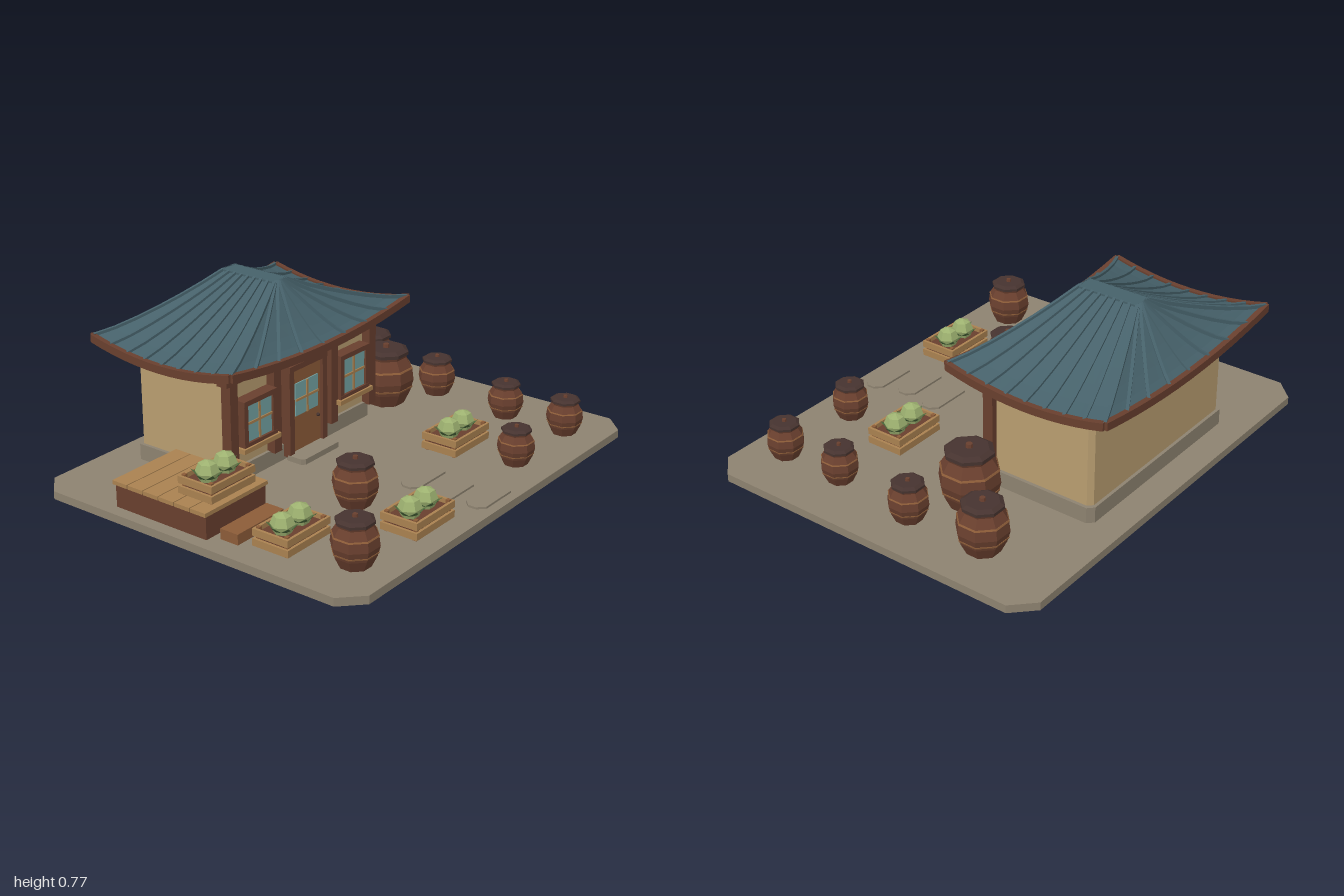
import * as THREE from 'three';

const mat = (name, color, extra = {}) => new THREE.MeshStandardMaterial({ name, color, ...extra });
const ground = mat('stone', 0x8d8270);
const plaster = mat('plaster', 0xb89d70);
const timber = mat('dark timber', 0x693f2e);
const wood = mat('mid wood', 0x8c5c38);
const tan = mat('tan wood', 0xa98150);
const tile = mat('roof tile', 0x46616a, { side: THREE.DoubleSide });
const glass = mat('glass', 0x74a3a3);
const leaf = mat('light leaf', 0x9db170);
const darkLeaf = mat('dark leaf', 0x4a673a, { side: THREE.DoubleSide });
const lidMat = mat('dark lid', 0x46332f);

// adds a faceted mesh
function add(parent, name, geo, material, x = 0, y = 0, z = 0) {
  const g = geo.index ? geo.toNonIndexed() : geo;
  g.computeVertexNormals();
  const m = new THREE.Mesh(g, material);
  m.name = name;
  m.position.set(x, y, z);
  parent.add(m);
  return m;
}

// box from its bounds
function box(parent, name, material, x0, x1, y0, y1, z0, z1) {
  return add(parent, name, new THREE.BoxGeometry(x1 - x0, y1 - y0, z1 - z0), material,
    (x0 + x1) / 2, (y0 + y1) / 2, (z0 + z1) / 2);
}

function group(parent, name, x = 0, y = 0, z = 0) {
  const g = new THREE.Group();
  g.name = name;
  g.position.set(x, y, z);
  parent.add(g);
  return g;
}

// rectangular slab with cut corners
function slab(parent, name, material, hx, hz, c, y0, y1, x, z) {
  const pts = [[hx - c, -hz], [hx, c - hz], [hx, hz - c], [hx - c, hz],
    [c - hx, hz], [-hx, hz - c], [-hx, c - hz], [c - hx, -hz]];
  const shape = new THREE.Shape(pts.map(p => new THREE.Vector2(...p)));
  const geo = new THREE.ExtrudeGeometry(shape, { depth: y1 - y0, bevelEnabled: false });
  geo.rotateX(-Math.PI / 2);
  return add(parent, name, geo, material, x, y0, z);
}

// rectangular bar swept along points
function bar(points, w, h) {
  const pos = [], idx = [], up = new THREE.Vector3(0, 1, 0);
  points.forEach((p, i) => {
    const d = points[Math.min(i + 1, points.length - 1)].clone().sub(points[Math.max(i - 1, 0)]);
    const n = d.cross(up).normalize().multiplyScalar(w / 2);
    for (const [sx, sy] of [[-1, -1], [1, -1], [1, 1], [-1, 1]])
      pos.push(p.x + n.x * sx, p.y + sy * h / 2, p.z + n.z * sx);
    if (i) for (let j = 0; j < 4; j++) {
      const a = (i - 1) * 4 + j, b = (i - 1) * 4 + (j + 1) % 4;
      idx.push(a, a + 4, b + 4, a, b + 4, b);
    }
  });
  const e = (points.length - 1) * 4;
  idx.push(0, 1, 2, 0, 2, 3, e, e + 2, e + 1, e, e + 3, e + 2);
  const g = new THREE.BufferGeometry();
  g.setAttribute('position', new THREE.Float32BufferAttribute(pos, 3));
  g.setIndex(idx);
  return g;
}

// point on one roof side: a runs along the eave, s from ridge to eave
function roofPoint(side, a, s) {
  const hx = 0.04 + 0.545 * s, hz = 0.14 + 0.23 * s;
  const y = 0.765 - 0.23 * (1 - Math.pow(1 - s, 1.2)) + 0.048 * a * a * Math.pow(s, 1.5);
  const [x, z] = [[a * hx, hz], [hx, -a * hz], [-a * hx, -hz], [-hx, a * hz]][side];
  return new THREE.Vector3(x, y, z);
}

function buildRoof(parent) {
  const roof = group(parent, 'roof', -0.08, 0, -0.415);
  const rows = 6, cols = 12;
  const steps = (n, f) => Array.from({ length: n + 1 }, (_, i) => f(i / n));
  for (let side = 0; side < 4; side++) {
    const pos = [], idx = [];
    for (let i = 0; i <= rows; i++) for (let j = 0; j <= cols; j++) {
      pos.push(...roofPoint(side, 2 * j / cols - 1, i / rows).toArray());
      if (i < rows && j < cols) {
        const k = i * (cols + 1) + j, n = k + cols + 1;
        idx.push(k, n, n + 1, k, n + 1, k + 1);
      }
    }
    const g = new THREE.BufferGeometry();
    g.setAttribute('position', new THREE.Float32BufferAttribute(pos, 3));
    g.setIndex(idx);
    add(roof, 'roofSlope', g, tile);
    // tile ribs fan out from the ridge
    for (let r = 0; r < 8; r++)
      add(roof, 'roofRib', bar(steps(6, s => roofPoint(side, r / 4 - 1, s)), 0.013, 0.02), tile);
    add(roof, 'eaveBoard', bar(steps(12, t => {
      const p = roofPoint(side, 2 * t - 1, 1);
      p.y -= 0.006;
      return p;
    }), 0.024, 0.034), timber);
  }
  box(roof, 'ridgeCap', tile, -0.042, 0.042, 0.745, 0.772, -0.142, 0.142);
}

// framed glass with a cross of thin bars
function pane(parent, x0, x1, y0, y1, z) {
  const cx = (x0 + x1) / 2, cy = (y0 + y1) / 2;
  box(parent, 'glass', glass, x0, x1, y0, y1, z - 0.006, z);
  box(parent, 'verticalGlazingBar', tan, cx - 0.005, cx + 0.005, y0, y1, z, z + 0.005);
  box(parent, 'horizontalGlazingBar', tan, x0, x1, cy - 0.005, cy + 0.005, z, z + 0.005);
}

function buildWindow(parent, x) {
  const w = group(parent, 'window', x);
  for (const s of [-1, 1])
    box(w, 'windowJamb', timber, s * 0.09 - 0.012, s * 0.09 + 0.012, 0.2, 0.4, -0.185, -0.125);
  box(w, 'windowHead', timber, -0.102, 0.102, 0.378, 0.4, -0.185, -0.124);
  box(w, 'windowFoot', timber, -0.102, 0.102, 0.2, 0.216, -0.185, -0.124);
  box(w, 'windowSill', tan, -0.115, 0.115, 0.18, 0.2, -0.185, -0.115);
  pane(w, -0.078, 0.078, 0.216, 0.378, -0.135);
}

function buildDoor(parent) {
  const d = group(parent, 'door', -0.08);
  for (const s of [-1, 1])
    box(d, 'doorJamb', timber, s * 0.11 - 0.015, s * 0.11 + 0.015, 0.05, 0.455, -0.185, -0.13);
  box(d, 'doorHead', timber, -0.125, 0.125, 0.43, 0.455, -0.185, -0.128);
  box(d, 'doorLeaf', wood, -0.095, 0.095, 0.05, 0.43, -0.185, -0.145);
  pane(d, -0.075, 0.075, 0.22, 0.365, -0.14);
  add(d, 'doorKnob', new THREE.IcosahedronGeometry(0.009), lidMat, 0.072, 0.18, -0.138);
}

function buildHouse(parent) {
  const h = group(parent, 'house');
  slab(h, 'plinth', ground, 0.485, 0.252, 0.025, 0.035, 0.105, -0.08, -0.418);
  slab(h, 'walls', plaster, 0.47, 0.238, 0.02, 0.1, 0.56, -0.08, -0.418);
  for (const x of [-0.46, -0.19, 0.19, 0.46])
    box(h, 'post', timber, x - 0.103, x - 0.057, 0.1, 0.49, -0.187, -0.14);
  box(h, 'frontBeam', timber, -0.585, 0.425, 0.485, 0.53, -0.19, -0.138);
  for (const x of [-0.395, 0.235]) buildWindow(h, x);
  buildDoor(h);
  slab(h, 'doorStep', ground, 0.125, 0.05, 0.015, 0.035, 0.06, -0.08, -0.11);
  buildRoof(h);
}

function buildDeck(parent) {
  const d = group(parent, 'deck');
  box(d, 'deckBody', timber, -0.945, -0.595, 0.035, 0.135, -0.41, 0.06);
  for (let i = 0; i < 6; i++)
    box(d, 'deckPlank', tan, -0.955, -0.588, 0.135, 0.152, -0.418 + i * 0.0815, -0.341 + i * 0.0815);
  box(d, 'deckFootstep', wood, -0.905, -0.632, 0.035, 0.08, 0.095, 0.182);
}

function buildCrate(parent, x, y, z) {
  const c = group(parent, 'vegetableCrate', x, y, z);
  for (const y0 of [0.008, 0.05]) for (const s of [-1, 1]) {
    const e = s * 0.08, f = s * 0.122;
    box(c, 'longSlat', tan, -0.128, 0.128, y0, y0 + 0.03, e - 0.006, e + 0.006);
    box(c, 'shortSlat', tan, f - 0.006, f + 0.006, y0, y0 + 0.03, -0.075, 0.075);
  }
  for (const sx of [-1, 1]) for (const sz of [-1, 1])
    box(c, 'cornerPost', wood, sx * 0.109 - 0.008, sx * 0.109 + 0.008, 0, 0.086, sz * 0.068 - 0.008, sz * 0.068 + 0.008);
  box(c, 'soil', timber, -0.116, 0.116, 0.003, 0.06, -0.074, 0.074);
  for (const s of [-1, 1]) {
    add(c, 'cabbage', new THREE.SphereGeometry(0.05, 6, 4), leaf, s * 0.052, 0.095, 0);
    // pointed outer leaves
    for (let i = 0; i < 6; i++) {
      const g = new THREE.ConeGeometry(0.026, 0.06, 4);
      g.scale(1, 1, 0.35).rotateX(0.9).translate(0, 0.083, 0.042).rotateY((i + 0.5) * Math.PI / 3);
      add(c, 'outerLeaf', g, darkLeaf, s * 0.052, 0, 0);
    }
  }
}

// octagonal storage jar, sized by its widest radius
function buildJar(parent, x, z, r) {
  const j = group(parent, 'jar', x, 0.035, z);
  j.scale.setScalar(r);
  j.rotation.y = Math.PI / 8;
  const lathe = pts => new THREE.LatheGeometry(pts.map(p => new THREE.Vector2(...p)), 8);
  add(j, 'jarBody', lathe([[0, 0], [0.68, 0], [0.92, 0.5], [1.04, 0.95], [0.98, 1.4], [0.74, 1.78], [0.78, 1.92], [0, 1.92]]), timber);
  for (const [y, a, b] of [[0.66, 0.985, 1.0], [1.4, 1.01, 0.975]])
    add(j, 'jarBand', lathe([[0.8, y - 0.03], [a, y - 0.03], [b, y + 0.03], [0.8, y + 0.03]]), wood);
  add(j, 'jarLid', lathe([[0, 1.9], [0.84, 1.9], [0.84, 2.02], [0.66, 2.12], [0, 2.12]]), lidMat);
  add(j, 'lidKnob', new THREE.CylinderGeometry(0.11, 0.13, 0.13, 8), timber, 0, 2.18, 0);
}

export function createModel() {
  const model = new THREE.Group();
  model.name = 'courtyardHouse';
  slab(model, 'courtyard', ground, 1, 0.8, 0.09, 0, 0.035, 0, 0);
  buildHouse(model);
  buildDeck(model);
  for (const [x, z] of [[0.01, 0.71], [-0.03, 0.56], [0, 0.4]])
    slab(model, 'steppingStone', ground, 0.12, 0.048, 0.03, 0.035, 0.044, x, z);
  for (const [x, y, z] of [[-0.765, 0.152, -0.04], [-0.755, 0.035, 0.32], [-0.355, 0.035, 0.62], [0.355, 0.035, 0.32]])
    buildCrate(model, x, y, z);
  for (const [x, z, r] of [[0.775, -0.43, 0.104], [0.565, -0.2, 0.123], [0.79, -0.075, 0.082], [0.75, 0.32, 0.077],
    [0.75, 0.62, 0.077], [0.355, 0.62, 0.077], [-0.355, 0.32, 0.093], [-0.755, 0.62, 0.093]])
    buildJar(model, x, z, r);
  return model;
}
